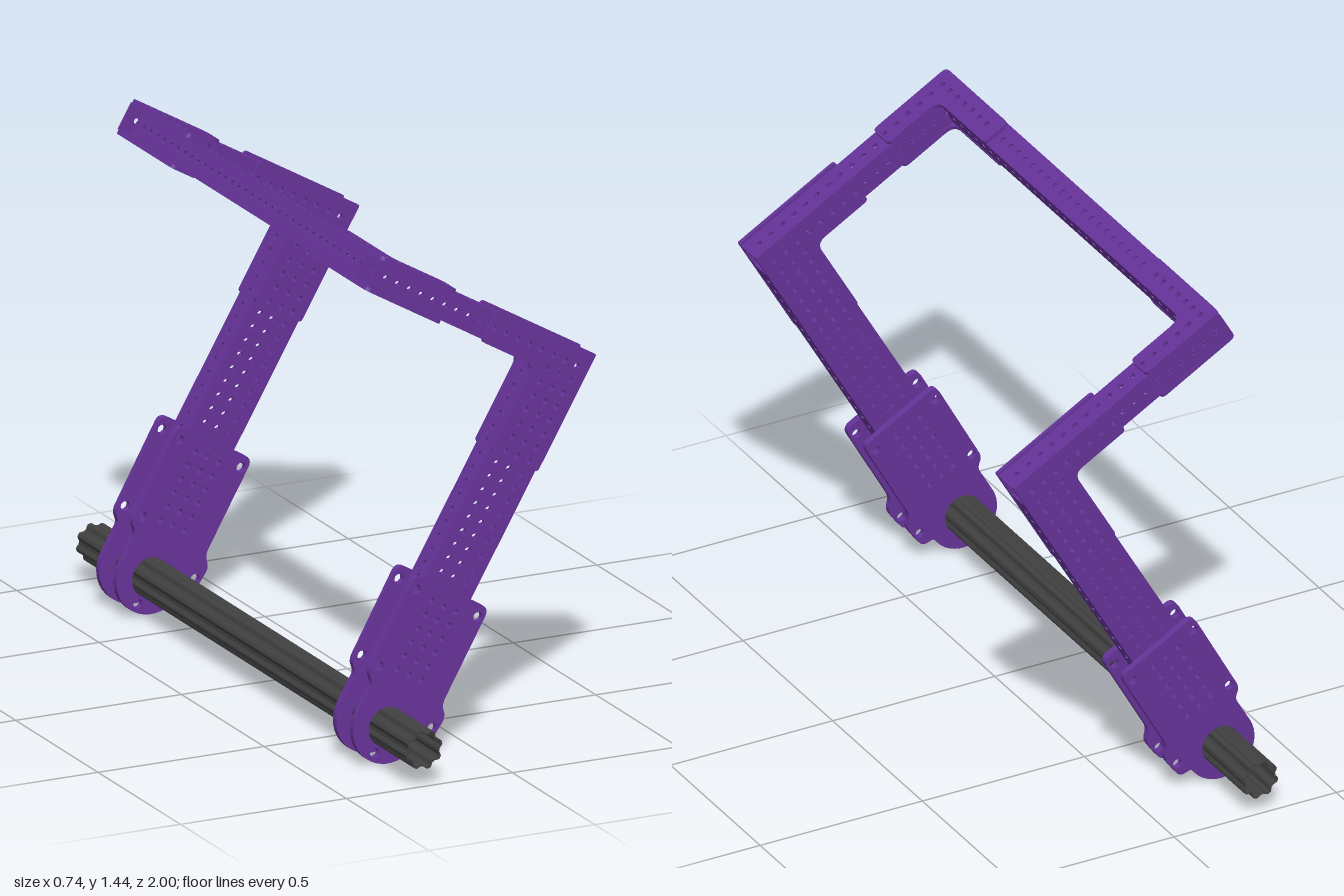
import * as THREE from 'three';

const purple = new THREE.MeshStandardMaterial({ color: 0x663399 });
const dark = new THREE.MeshStandardMaterial({ color: 0x404040, side: THREE.DoubleSide });

const PITCH = 0.0412;   // hole spacing
const HOLE = 0.0085;    // small hole radius
const HALF = 0.041;     // half thickness of the square tubing
const SIDE_Z = 0.718;   // centre of each side frame
const ARM_U = 1.1;      // height of the upper arm along the leg
const V0 = 0.029;       // first hole column
const BAR_V = V0 - 16 * PITCH;

const range = (a, b) => Array.from({ length: b - a + 1 }, (_, i) => a + i);

// Polygon of [x, y, cornerRadius] with softened corners
function outline(points) {
  const shape = new THREE.Shape();
  const n = points.length;
  points.forEach(([x, y, r = 0], i) => {
    const p = new THREE.Vector2(x, y);
    const toward = (q) => {
      const d = new THREE.Vector2(q[0], q[1]).sub(p);
      return d.setLength(Math.min(r, d.length() / 2)).add(p);
    };
    const a = toward(points[(i + n - 1) % n]);
    const b = toward(points[(i + 1) % n]);
    if (i === 0) shape.moveTo(a.x, a.y);
    else shape.lineTo(a.x, a.y);
    if (r > 0) shape.quadraticCurveTo(x, y, b.x, b.y);
  });
  shape.closePath();
  return shape;
}

function ring(x, y, r, sides) {
  return range(0, sides - 1).map((i) => {
    const a = (i / sides) * Math.PI * 2;
    return new THREE.Vector2(x + r * Math.cos(a), y + r * Math.sin(a));
  });
}

// Flat drilled plate, centred on its own thickness; holes are [x, y, radius]
function plate(name, points, holes, thickness) {
  const shape = outline(points);
  for (const [x, y, r = HOLE] of holes) {
    shape.holes.push(new THREE.Path().setFromPoints(ring(x, y, r, r > 0.03 ? 32 : 10)));
  }
  const geo = new THREE.ExtrudeGeometry(shape, { depth: thickness, bevelEnabled: false, curveSegments: 5 });
  geo.translate(0, 0, -thickness / 2);
  const mesh = new THREE.Mesh(geo, purple);
  mesh.name = name;
  return mesh;
}

// Hollow drilled tube running along y, made of four walls
function drilledTube(name, halfWidth, y0, y1, columns, rows) {
  const wall = 0.007;
  const tube = new THREE.Group();
  tube.name = name;
  const rect = (h) => [[-h, y0], [h, y0], [h, y1], [-h, y1]];
  const wide = columns.flatMap((x) => rows.map((y) => [x, y]));
  const narrow = rows.map((y) => [0, y]);
  for (const s of [-1, 1]) {
    const face = plate(name + 'Face', rect(halfWidth), wide, wall);
    face.position.z = s * (HALF - wall / 2);
    const edge = plate(name + 'Edge', rect(HALF - wall), narrow, wall);
    edge.rotation.y = Math.PI / 2;
    edge.position.x = s * (halfWidth - wall / 2);
    tube.add(face, edge);
  }
  return tube;
}

function sideFrame(side) {
  const frame = new THREE.Group();
  frame.name = side > 0 ? 'frontSideFrame' : 'backSideFrame';
  frame.position.z = side * SIDE_Z;
  const columns = [V0, V0 - PITCH, V0 - 2 * PITCH];
  const legRows = (a, b) => range(a, b).map((k) => ARM_U - k * PITCH);
  const legGrid = (a, b) => columns.flatMap((x) => legRows(a, b).map((y) => [x, y]));

  // Wide lower leg
  const leg = drilledTube('leg', 0.079, 0.132, ARM_U - HALF, [-PITCH, 0, PITCH], legRows(2, 23));
  leg.position.x = V0 - PITCH;
  frame.add(leg);

  // Square upper arm, reaching back from the top of the leg
  const arm = drilledTube('upperArm', HALF, -0.067, 0.669, [0], range(0, 16).map((k) => k * PITCH - V0));
  arm.rotation.z = Math.PI / 2;
  arm.position.y = ARM_U;
  frame.add(arm);

  // Pivot plate: round lobe at the shaft, wide body clamped to the leg
  const lobe = range(0, 20).map((i) => {
    const a = Math.PI * (1 + i / 20);
    return [0.104 * Math.cos(a), 0.104 * Math.sin(a)];
  });
  const pivotOutline = [
    ...lobe, [0.112, 0.002, 0.01], [0.142, 0.008, 0.02], [0.15, 0.09, 0.02], [0.122, 0.115, 0.02],
    [0.119, 0.406, 0.025], [-0.137, 0.406, 0.025], [-0.131, 0.112, 0.02], [-0.104, 0.092, 0.015],
  ];
  const pivotHoles = [
    [0, 0, 0.057], [-0.115, 0.37, 0.014], [0.099, 0.372, 0.014], [-0.111, 0.14, 0.014],
    [0.127, 0.047, 0.014], [0, -0.079, 0.014], ...legGrid(18, 23),
  ];

  // Elbow gusset between leg and upper arm
  const elbowOutline = [
    [0.068, 1.15, 0.004], [-0.275, 1.15, 0.012], [-0.275, 1.053, 0.012],
    [-0.093, 1.053, 0.03], [-0.093, 0.795, 0.012], [0.068, 0.795, 0.012],
  ];
  const elbowHoles = [...legGrid(1, 7), ...range(0, 7).map((k) => [V0 - k * PITCH, ARM_U])];

  // Corner gusset between upper arm and cross bar
  const cornerOutline = [
    [-0.671, -0.043, 0.02], [-0.41, -0.043, 0.015], [-0.41, 0.042, 0.015],
    [-0.587, 0.042, 0.035], [-0.587, 0.3, 0.015], [-0.671, 0.3, 0.015],
  ].map(([x, y, r]) => [x, y * side, r]);
  const cornerHoles = [
    ...range(11, 16).map((k) => [V0 - k * PITCH, 0]),
    ...range(1, 6).map((k) => [BAR_V, side * k * 0.041]),
  ];

  for (const s of [-1, 1]) {
    const pivot = plate('pivotPlate', pivotOutline, pivotHoles, 0.02);
    pivot.position.z = s * (HALF + 0.0105);
    const elbow = plate('elbowGusset', elbowOutline, elbowHoles, 0.011);
    elbow.position.z = s * (HALF + 0.0056);
    const corner = plate('cornerGusset', cornerOutline, cornerHoles, 0.011);
    corner.rotation.x = -Math.PI / 2;
    corner.position.y = ARM_U + s * (HALF + 0.0056);
    frame.add(pivot, elbow, corner);
  }
  return frame;
}

// Hollow splined shaft with eight rounded teeth
function shaft() {
  const profile = (outer, inner) => range(0, 63).map((i) => {
    const a = (i / 64) * Math.PI * 2;
    const t = THREE.MathUtils.clamp(0.5 + 0.9 * Math.cos(8 * a), 0, 1);
    const r = inner + (outer - inner) * t;
    return new THREE.Vector2(r * Math.cos(a), r * Math.sin(a));
  });
  const shape = new THREE.Shape(profile(0.056, 0.047));
  shape.holes.push(new THREE.Path(profile(0.051, 0.042)));
  const geo = new THREE.ExtrudeGeometry(shape, { depth: 2, bevelEnabled: false });
  geo.translate(0, 0, -1);
  const mesh = new THREE.Mesh(geo, dark);
  mesh.name = 'splinedShaft';
  return mesh;
}

export function createModel() {
  const model = new THREE.Group();
  model.name = 'pivotingArm';

  // Everything is laid out upright around the shaft, then leaned forward
  const assembly = new THREE.Group();
  assembly.name = 'armAssembly';
  assembly.position.set(-0.266, 0.104, 0);
  assembly.rotation.z = -Math.PI / 6;
  assembly.add(shaft(), sideFrame(1), sideFrame(-1));

  // Cross bar joining both upper arms
  const barEnd = SIDE_Z - HALF;
  const bar = drilledTube('crossBar', HALF, -barEnd, barEnd, [0],
    range(1, 34).map((k) => (k - 17.5) * 0.041));
  bar.rotation.x = Math.PI / 2;
  bar.position.set(BAR_V, ARM_U, 0);
  assembly.add(bar);

  model.add(assembly);
  return model;
}
